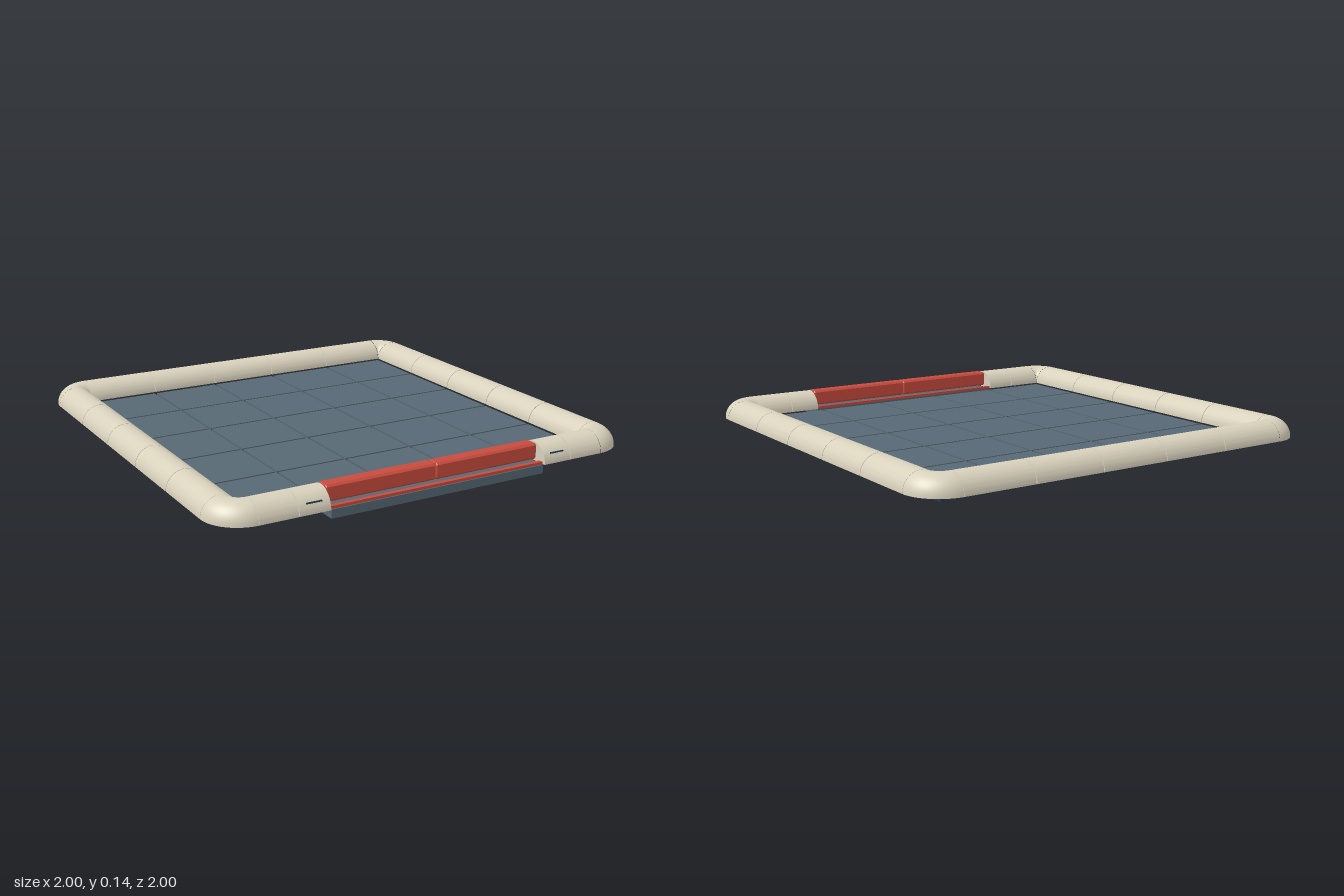
import * as THREE from 'three';
import { toCreasedNormals } from 'three/addons/utils/BufferGeometryUtils.js';

const mat = (name, color) => {
  const m = new THREE.MeshStandardMaterial({ color });
  m.name = name;
  return m;
};

const IN = 0.833, R = 0.0833, MID = IN + R; // inner edge, rail radius, rail centre line
const RAIL_Y = 0.058, STEP = (2 * IN) / 5;

export function createModel() {
  const cream = mat('cream', 0xd8d1bc);
  const slate = mat('slate', 0x566874);
  const dark = mat('darkSlate', 0x2a3c49);
  const red = mat('red', 0xc94b3e);
  const root = new THREE.Group();
  root.name = 'enclosure';

  const add = (name, geo, material, x = 0, y = 0, z = 0, parent = root) => {
    const m = new THREE.Mesh(geo, material);
    m.name = name;
    m.position.set(x, y, z);
    parent.add(m);
    return m;
  };
  const box = (name, material, w, h, d, x, y, z) =>
    add(name, new THREE.BoxGeometry(w, h, d), material, x, y, z);

  // Floor slab with a five by five grid of raised tiles
  box('floorSlab', dark, 2 * IN, 0.034, 2 * IN, 0, 0.017, 0);
  for (let i = -2; i <= 2; i++)
    for (let j = -2; j <= 2; j++)
      box('floorTile', slate, STEP - 0.011, 0.018, STEP - 0.011, i * STEP, 0.043, j * STEP);

  // Half-round rail segment running from a to b along x or z
  const half = new THREE.Shape();
  half.moveTo(R, 0);
  half.absarc(0, 0, R, 0, Math.PI, false);
  half.closePath();
  const rail = (name, axis, a, b, across) => {
    const len = b - a - 0.003;
    const raw = new THREE.ExtrudeGeometry(half, { depth: len, bevelEnabled: false, curveSegments: 24 });
    raw.translate(0, 0, -len / 2);
    if (axis === 'x') raw.rotateY(Math.PI / 2);
    const c = (a + b) / 2;
    add(name, toCreasedNormals(raw, 0.6), cream, axis === 'x' ? c : across, RAIL_Y, axis === 'x' ? across : c);
  };
  for (let i = 0; i < 5; i++) {
    const a = -IN + i * STEP, b = a + STEP;
    rail('backRail', 'x', a, b, -MID);
    rail('leftRail', 'z', a, b, MID);
    rail('rightRail', 'z', a, b, -MID);
  }
  rail('frontRail', 'x', 0.662, IN, MID);
  rail('frontRail', 'x', -IN, -0.662, MID);
  rail('gatePost', 'x', 0.521, 0.662, MID);
  rail('gatePost', 'x', -0.662, -0.521, MID);

  // Rounded corners: half-round profile swept a quarter turn, closed below
  const arc = [];
  for (let i = 0; i <= 24; i++) {
    const t = (i / 24) * Math.PI;
    arc.push(new THREE.Vector2(Math.max(0, R + R * Math.cos(t)), R * Math.sin(t)));
  }
  const cornerTop = new THREE.LatheGeometry(arc, 16, 0, Math.PI / 2);
  const cornerBase = new THREE.CircleGeometry(2 * R, 16, 0, Math.PI / 2).rotateX(Math.PI / 2);
  [[1, 1], [1, -1], [-1, -1], [-1, 1]].forEach(([sx, sz], k) => {
    const corner = new THREE.Group();
    corner.name = 'cornerRail';
    corner.position.set(sx * IN, RAIL_Y, sz * IN);
    corner.rotation.y = (k * Math.PI) / 2;
    add('cornerTop', cornerTop, cream, 0, 0, 0, corner);
    add('cornerBase', cornerBase, cream, 0, 0, 0, corner);
    root.add(corner);
  });

  // Gate: threshold tray, two edge strips and a pair of chamfered door bars
  box('gateThreshold', slate, 1.036, 0.038, 0.152, 0, 0.039, 0.918);
  box('innerGateStrip', red, 1.036, 0.012, 0.014, 0, 0.064, 0.843);
  box('outerGateStrip', red, 1.036, 0.012, 0.02, 0, 0.064, 0.978);
  const W = 0.03, H = 0.033, C = 0.007;
  const section = new THREE.Shape([
    [-W + C, -H], [W - C, -H], [W, -H + C], [W, H - C],
    [W - C, H], [-W + C, H], [-W, H - C], [-W, -H + C],
  ].map(([x, y]) => new THREE.Vector2(x, y)));
  const bar = new THREE.ExtrudeGeometry(section, {
    depth: 0.505, bevelEnabled: true, bevelSegments: 1, bevelSize: 0.003, bevelThickness: 0.004,
  });
  bar.translate(0, 0, -0.2525).rotateY(Math.PI / 2);
  for (const s of [-1, 1]) {
    add('gateDoor', bar, red, s * 0.2585, 0.105, 0.915);
    // Slot on each gate post
    box('postSlot', dark, 0.07, 0.005, 0.008, s * 0.592, 0.102, MID + 0.071);
  }
  return root;
}
